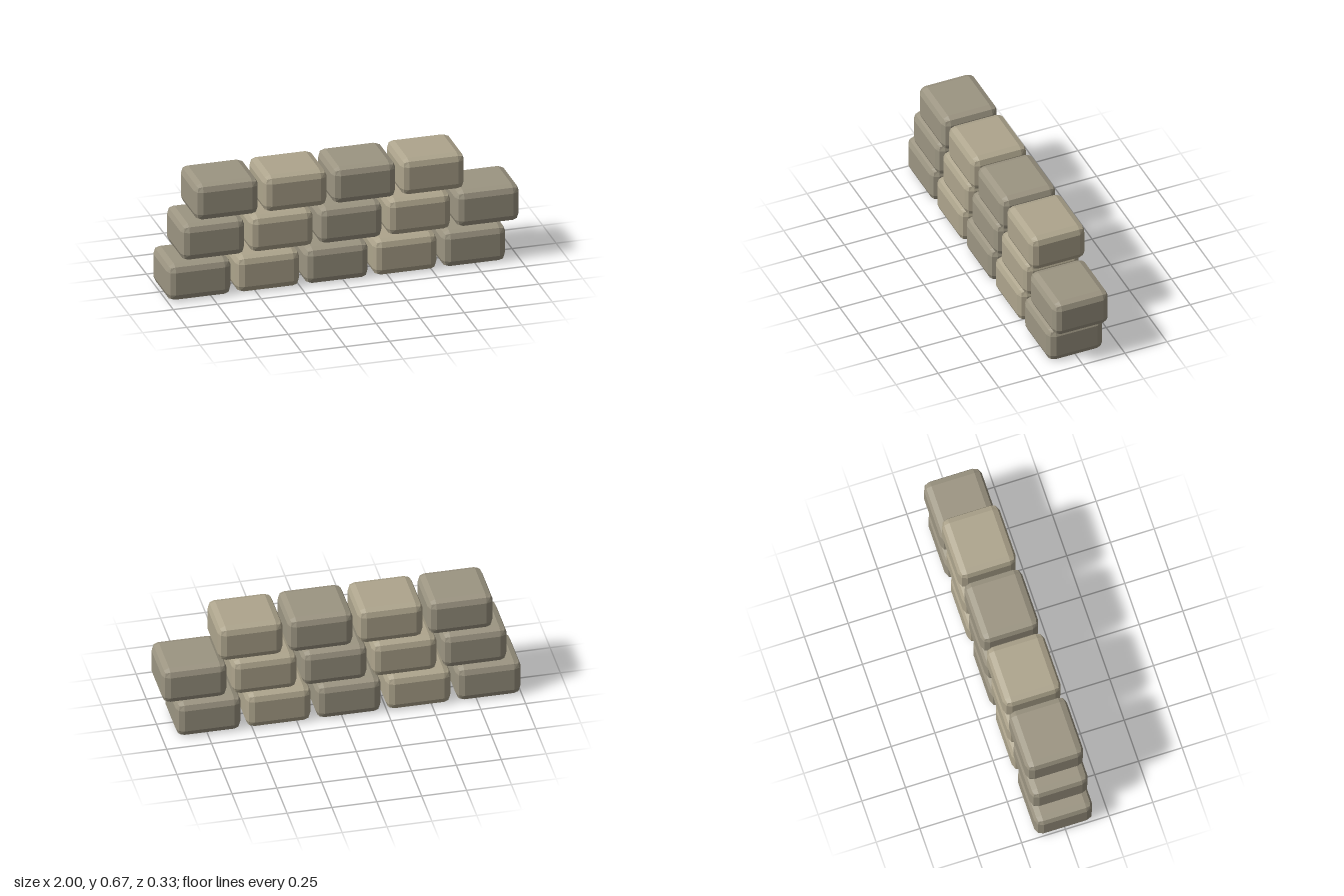
import * as THREE from 'three';
import { RoundedBoxGeometry } from 'three/addons/geometries/RoundedBoxGeometry.js';

const LENGTH = 0.362, HEIGHT = 0.215, DEPTH = 0.33, BEVEL = 0.042;
const PITCH = 0.39;        // spacing of bricks along a course
const COURSE = 0.2285;     // height from one course to the next
const SHIFT = 0.078;       // sideways step of each course
const COUNTS = [5, 5, 4];  // bricks per course, bottom to top

export function createModel() {
  const wall = new THREE.Group();
  wall.name = 'brickWall';

  // One bevelled brick shape, two stone tones
  const geometry = new RoundedBoxGeometry(LENGTH, HEIGHT, DEPTH, 1, BEVEL);
  const tones = [0x9c9582, 0xaea58d].map(
    (color) => new THREE.MeshStandardMaterial({ color, flatShading: true })
  );

  // Courses of alternating bricks
  COUNTS.forEach((count, row) => {
    const course = new THREE.Group();
    course.name = `course${row + 1}`;
    course.position.set(-1 + LENGTH / 2 + row * SHIFT, HEIGHT / 2 + row * COURSE, 0);
    for (let i = 0; i < count; i++) {
      const brick = new THREE.Mesh(geometry, tones[i % 2]);
      brick.name = `brick${i + 1}`;
      brick.position.x = i * PITCH;
      course.add(brick);
    }
    wall.add(course);
  });
  return wall;
}
